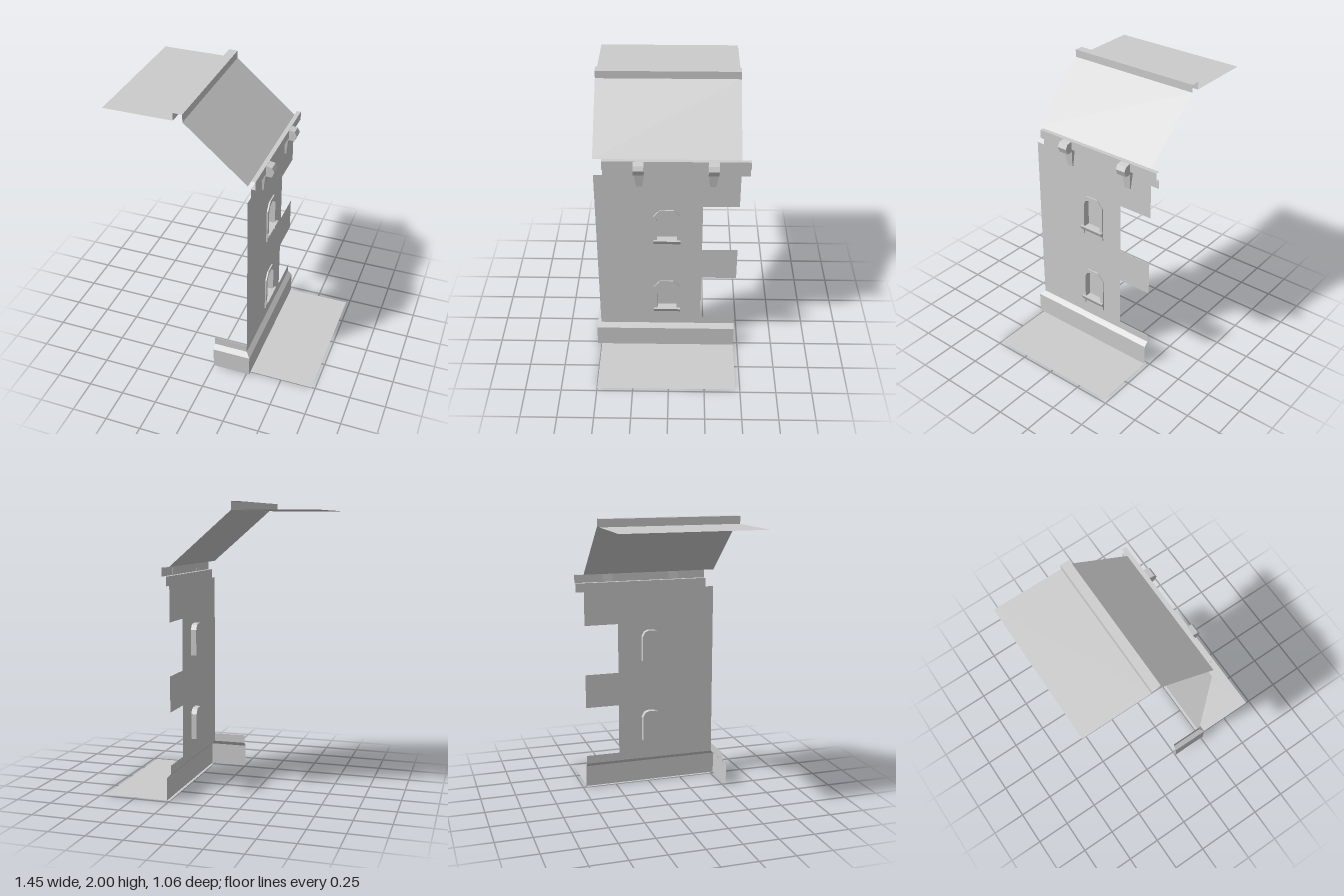
import * as THREE from 'three';
import { ConvexGeometry } from 'three/addons/geometries/ConvexGeometry.js';

const stone = new THREE.MeshStandardMaterial({ color: 0xcccccc, side: THREE.DoubleSide, flatShading: true });
stone.name = 'grey stone';

const FRONT = 0.5, BACK = -0.47, WALL = 0.24, FOOT = 0.27;

// Open sheet spanned between two matching polylines
function sheet(a, b) {
  const p = [];
  for (let i = 0; i < a.length - 1; i++) {
    p.push(...a[i], ...b[i], ...b[i + 1], ...a[i], ...b[i + 1], ...a[i + 1]);
  }
  const g = new THREE.BufferGeometry();
  g.setAttribute('position', new THREE.Float32BufferAttribute(p, 3));
  g.computeVertexNormals();
  return g;
}

// Sheet with an (x, y) profile running along z
const run = (profile, z0, z1) =>
  sheet(profile.map(([x, y]) => [x, y, z0]), profile.map(([x, y]) => [x, y, z1]));

const shapeOf = pts => new THREE.Shape(pts.map(([u, y]) => new THREE.Vector2(u, y)));

// Solid with an (x, y) profile, extruded along z
function solid(profile, z0, z1) {
  const g = new THREE.ExtrudeGeometry(shapeOf(profile), { depth: z1 - z0, bevelEnabled: false });
  return g.translate(0, 0, z0);
}

// Turn geometry drawn in (-z, y) to face +x
const faceRight = (g, x) => g.rotateY(Math.PI / 2).translate(x, 0, 0);

// Symmetric arch outline in (-z, y), from half of its points
const MID = -0.0175;
function arch(half, y) {
  const right = half.map(([u, v]) => [MID + u, v + y]);
  const left = half.map(([u, v]) => [MID - u, v + y]).reverse();
  return [...right, ...left];
}
const OPENING = [[0.068, 0.332], [0.068, 0.512], [0.05, 0.545], [0.024, 0.556]];
const SURROUND = [[0.093, 0.305], [0.093, 0.53], [0.047, 0.582]];

function add(parent, name, geometry) {
  const m = new THREE.Mesh(geometry, stone);
  m.name = name;
  parent.add(m);
  return m;
}

function makeWindow(y) {
  const g = new THREE.Group();
  g.name = 'window';
  const opening = arch(OPENING, y);

  // Recess sides and back
  const loop = [...opening, opening[0]];
  add(g, 'windowReveal', sheet(loop.map(([u, v]) => [0.2, v, -u]), loop.map(([u, v]) => [WALL, v, -u])));
  add(g, 'windowBack', faceRight(new THREE.ShapeGeometry(shapeOf(opening)), 0.2));

  // Raised surround
  const ring = shapeOf(arch(SURROUND, y));
  ring.holes.push(shapeOf(opening));
  add(g, 'windowSurround', faceRight(new THREE.ExtrudeGeometry(ring, { depth: 0.01, bevelEnabled: false }), WALL));

  // Sill with a small foot at each end
  const z = -MID;
  add(g, 'windowSill', solid([[0.245, y + 0.305], [0.252, y + 0.305], [0.267, y + 0.337], [0.245, y + 0.337]], z - 0.093, z + 0.093));
  for (const s of [-1, 1]) {
    add(g, 'sillFoot', new THREE.BoxGeometry(0.01, 0.035, 0.022).translate(0.245, y + 0.292, z + s * 0.082));
  }
  return g;
}

function makeBracket(z) {
  const g = new THREE.Group();
  g.name = 'bracket';
  // Blunt beam end
  add(g, 'bracketHead', solid([[0.265, 1.5], [0.31, 1.5], [0.326, 1.54], [0.31, 1.57], [0.27, 1.578]], -0.035, 0.035));
  // Tapered corbel
  const pts = [];
  for (const [x, y, w] of [[0.27, 1.52, 0.037], [0.266, 1.5, 0.036], [0.25, 1.38, 0.021]]) {
    for (const s of [-1, 1]) pts.push(new THREE.Vector3(WALL, y, s * w), new THREE.Vector3(x, y, s * w));
  }
  add(g, 'bracketCorbel', new ConvexGeometry(pts));
  g.position.z = z;
  return g;
}

export function createModel() {
  const model = new THREE.Group();
  model.name = 'buildingFacade';

  // Wall sheet with toothed back edge and window openings
  const wall = shapeOf([
    [-FRONT, 0.185], [-BACK, 0.185], [-BACK, 0.245], [0.225, 0.245], [0.225, 0.61], [-BACK, 0.61],
    [-BACK, 0.855], [0.225, 0.855], [0.225, 1.215], [-BACK, 1.215], [-BACK, 1.457], [-FRONT, 1.457],
  ]);
  for (const y of [0, 0.605]) {
    wall.holes.push(shapeOf(arch(OPENING, y)));
    model.add(makeWindow(y));
  }
  add(model, 'wall', faceRight(new THREE.ShapeGeometry(wall), WALL));

  // Plinth wrapping the front corner, with a mitred chamfer
  const plinth = [[0.03, 0], [0.03, 0.155], [0, 0.185]];
  const corner = plinth.map(([o, y]) => [WALL + o, y, FRONT + o]);
  add(model, 'sidePlinth', sheet(corner, plinth.map(([o, y]) => [WALL + o, y, BACK])));
  add(model, 'frontPlinth', sheet(plinth.map(([o, y]) => [0, y, FRONT + o]), corner));
  add(model, 'frontWallReturn', sheet([[0, 0.185, FRONT], [0, 0.245, FRONT]], [[WALL, 0.185, FRONT], [WALL, 0.245, FRONT]]));

  // Cornice under the eaves, offset towards the back
  add(model, 'cornice', run([[WALL, 1.457], [WALL, 1.52], [FOOT, 1.52], [FOOT, 1.58], [WALL, 1.58]], 0.44, -0.53));
  for (const z of [0.2, -0.288]) model.add(makeBracket(z));

  // Roof slope, ridge cap and flat top
  add(model, 'roofSlope', run([[WALL, 1.58], [-0.182, 1.947]], FRONT, BACK));
  add(model, 'ridgeCap', run([[-0.182, 1.947], [-0.182, 2], [-0.245, 2], [-0.245, 1.947]], FRONT, BACK));
  add(model, 'flatRoof', run([[-0.245, 1.947], [-0.725, 1.947]], FRONT, BACK));

  // Pavement beside the wall
  add(model, 'pavement', run([[0.725, 0], [0.25, 0]], FRONT, BACK));

  return model;
}
